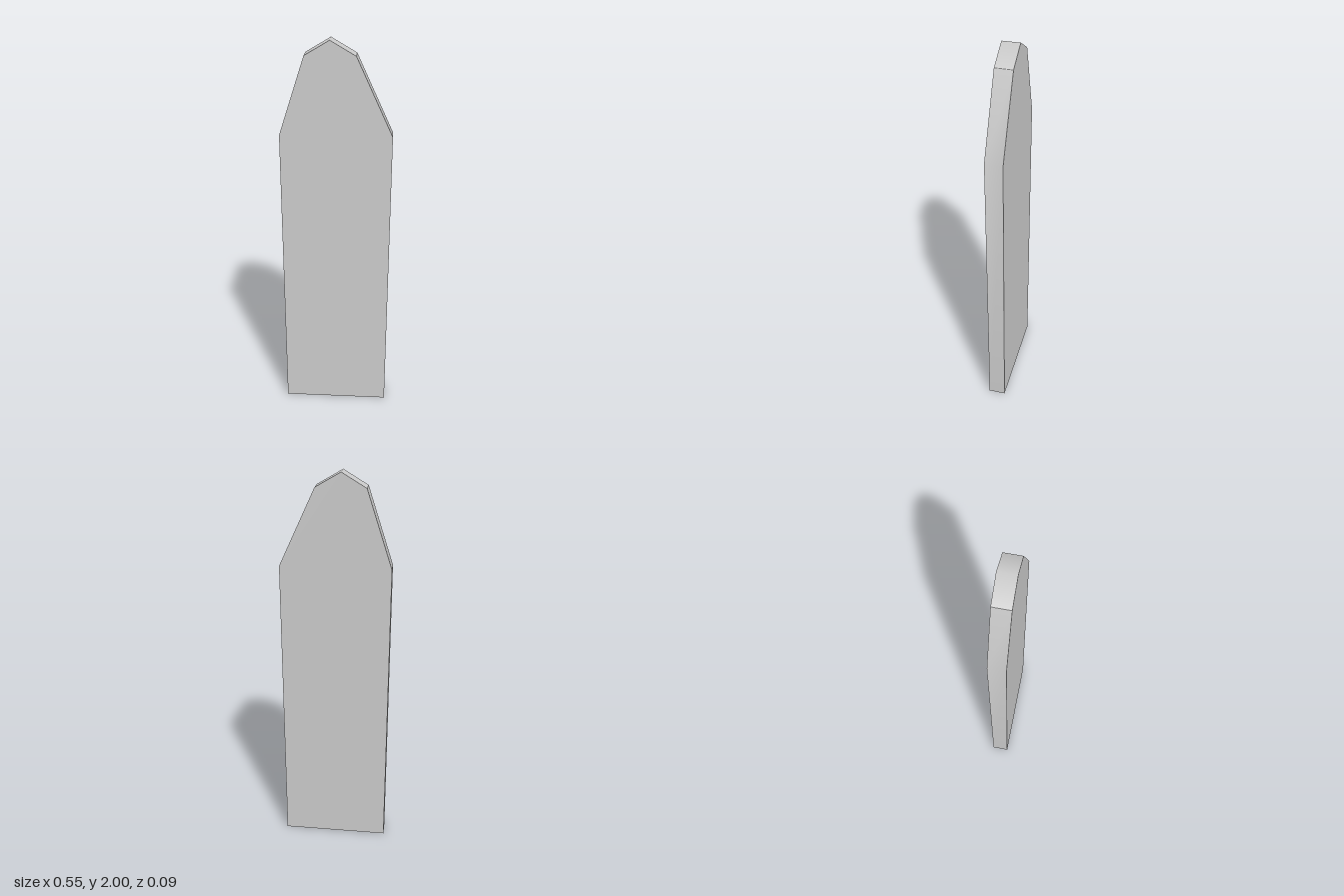
import * as THREE from 'three';
import { toCreasedNormals } from 'three/addons/utils/BufferGeometryUtils.js';

export function createModel() {
  const group = new THREE.Group();
  group.name = 'pointedSlab';

  // Outline of the plank with its uneven, chipped point
  const depth = 0.088;
  const peak = new THREE.Vector2(-0.028, 2);
  const outline = new THREE.Shape([
    new THREE.Vector2(-0.275, 0),
    new THREE.Vector2(0.275, 0),
    new THREE.Vector2(0.275, 1.545),
    new THREE.Vector2(0.096, 1.928),
    peak,
    new THREE.Vector2(-0.149, 1.928),
    new THREE.Vector2(-0.275, 1.545),
  ]);
  const extruded = new THREE.ExtrudeGeometry(outline, { depth, bevelEnabled: false });
  extruded.translate(0, 0, -depth / 2);

  // Soft shading over the shallow shoulders, sharp elsewhere
  const geometry = toCreasedNormals(extruded, THREE.MathUtils.degToRad(30));

  // Soft shading over the ridge at the tip
  const { position, normal } = geometry.attributes;
  for (let i = 0; i < position.count; i++) {
    if (position.getY(i) > 1.99 && Math.abs(normal.getZ(i)) < 0.5) normal.setXYZ(i, 0, 1, 0);
  }

  const plank = new THREE.Mesh(geometry, new THREE.MeshStandardMaterial({ color: 0xcccccc }));
  plank.name = 'plank';
  group.add(plank);
  return group;
}
